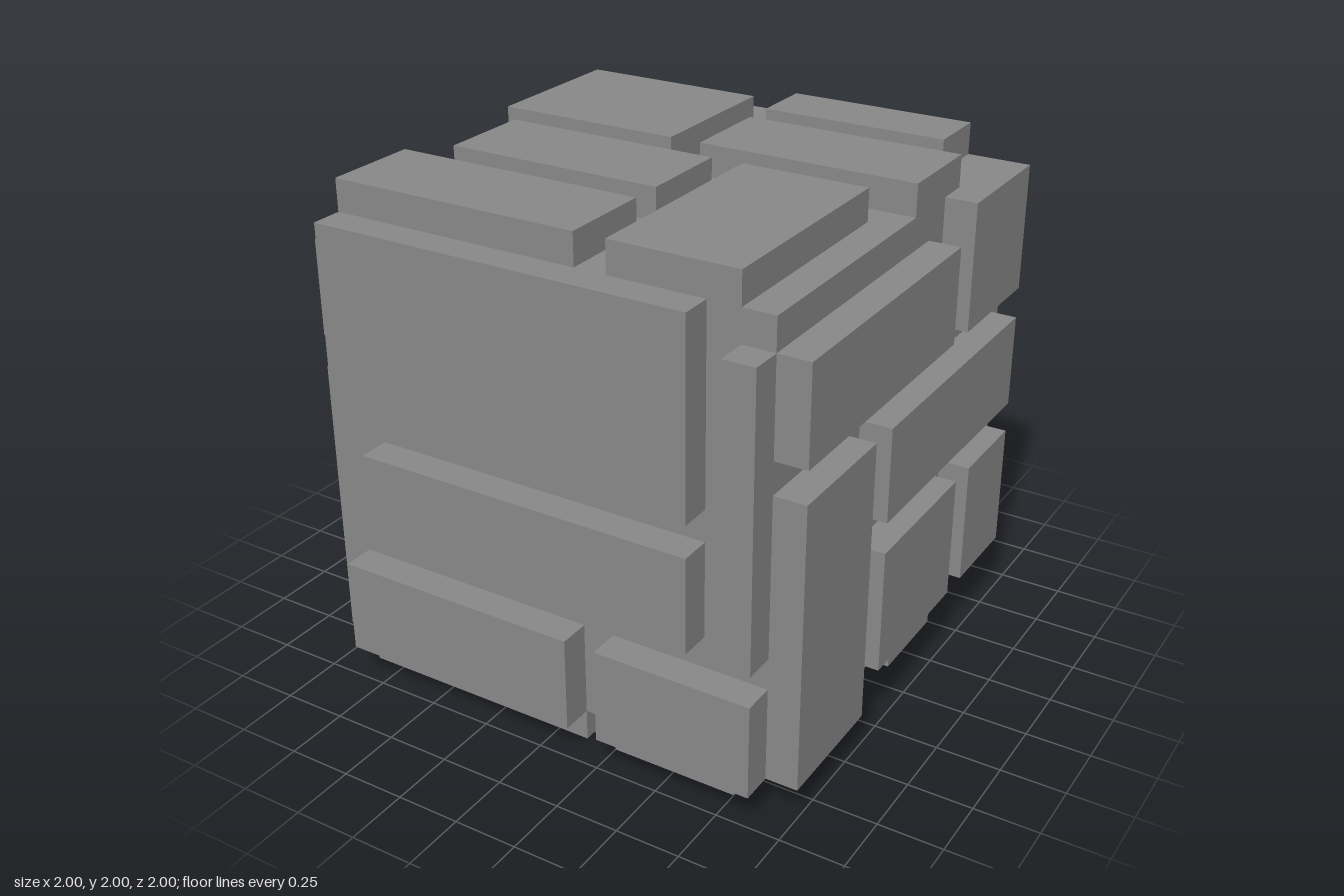
import * as THREE from 'three';

const U = 1 / 8; // grid unit

export function createModel() {
  const group = new THREE.Group();
  const stone = new THREE.MeshStandardMaterial({ color: 0x888888 });
  stone.name = 'grey stone';

  // Box from two opposite corners, in grid units
  function block(name, x0, x1, y0, y1, z0, z1) {
    const geo = new THREE.BoxGeometry((x1 - x0) * U, (y1 - y0) * U, (z1 - z0) * U);
    const mesh = new THREE.Mesh(geo, stone);
    mesh.position.set((x0 + x1) / 2 * U, (y0 + y1) / 2 * U, (z0 + z1) / 2 * U);
    mesh.name = name;
    group.add(mesh);
  }

  block('core', -7, 7, 1, 15, -7, 7);

  // Front and back bricks: x0, x1, y0, y1
  const frontBricks = [
    [-7, 5, 9, 15], [-6, 5, 5, 8], [-7, 1, 1, 4], [2, 7, 1, 4], [6, 7, 5, 14],
  ];
  for (const b of frontBricks) {
    block('frontBrick', ...b, 7, 8);
    block('backBrick', ...b, -8, -7);
  }

  // Side bricks: y0, y1, z0, z1
  const sideBricks = [
    [11, 14, -2, 7], [11, 15, -7, -3], [1, 10, 3, 7],
    [7, 10, -7, 2], [2, 6, -3, 2], [2, 6, -7, -4],
  ];
  for (const b of sideBricks) {
    block('leftBrick', 7, 8, ...b);
    block('rightBrick', -8, -7, ...b);
  }

  // Top and bottom bricks: x0, x1, z0, z1, and z0 of the bottom one
  const flatBricks = [
    [-7, -1, -6, -1, -6], [0, 6, -7, -5, -7], [0, 7, -4, -1, -4],
    [-6, 1, 0, 3, -1], [-7, 1, 4, 7, 4], [2, 6, 0, 7, 0],
  ];
  for (const [x0, x1, z0, z1, bottomZ0] of flatBricks) {
    block('topBrick', x0, x1, 15, 16, z0, z1);
    block('bottomBrick', x0, x1, 0, 1, bottomZ0, z1);
  }

  return group;
}
